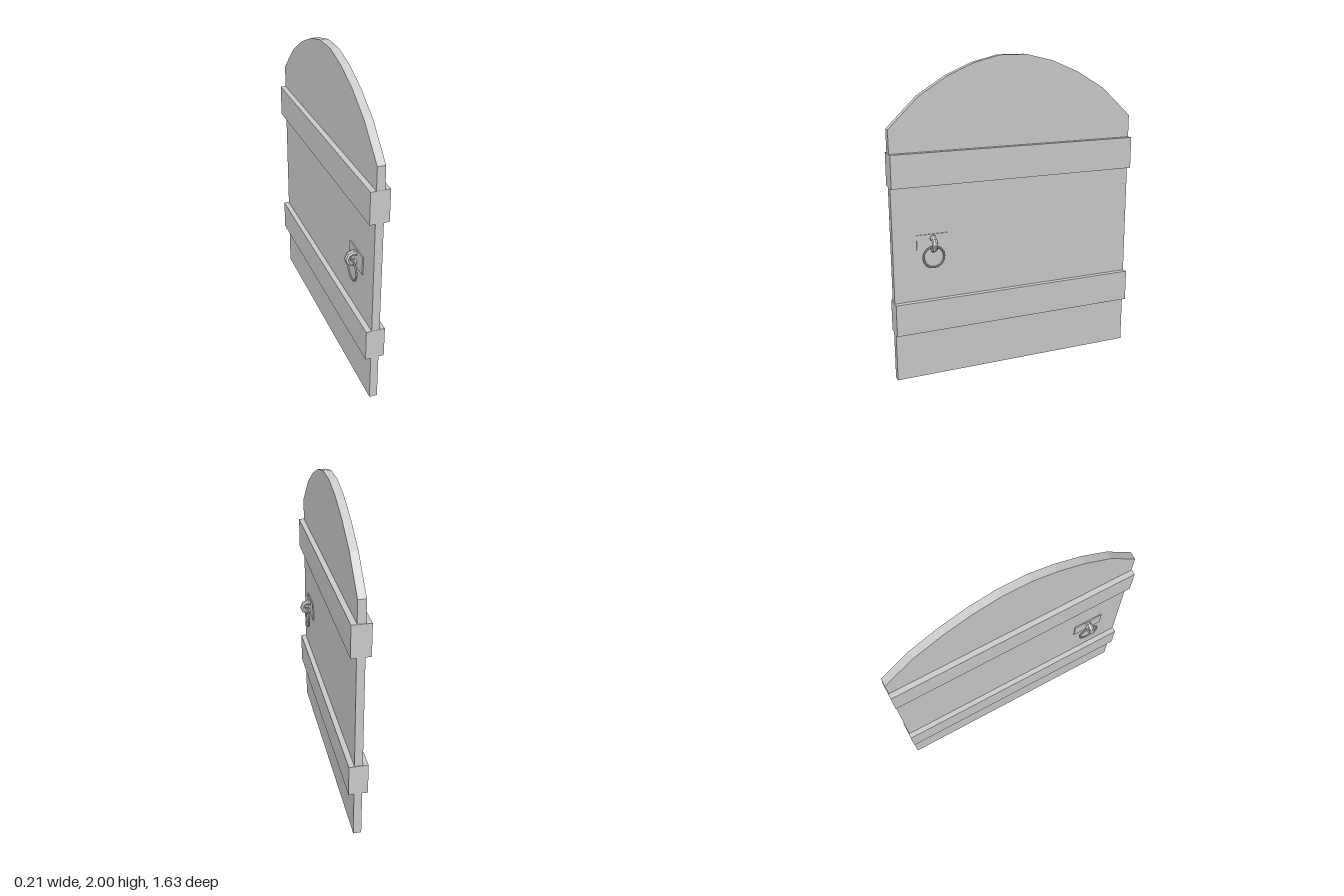
import * as THREE from 'three';

const material = new THREE.MeshStandardMaterial({ color: 0xcccccc, flatShading: true, side: THREE.DoubleSide });

function addPart(parent, name, geometry, x = 0, y = 0, z = 0) {
  const mesh = new THREE.Mesh(geometry, material);
  mesh.name = name;
  mesh.position.set(x, y, z);
  parent.add(mesh);
  return mesh;
}

// Arched panel, drawn in (z, y) and extruded across x; its underside is open
function panelGeometry() {
  const thickness = 0.05;
  const outline = [
    [-0.81, 0], [0.813, 0], [0.813, 1.59], [0.622, 1.775], [0.445, 1.885], [0.27, 1.96],
    [0.106, 2], [-0.07, 2], [-0.243, 1.96], [-0.424, 1.885], [-0.61, 1.775], [-0.81, 1.59],
  ];
  const shape = new THREE.Shape(outline.map(([z, y]) => new THREE.Vector2(z, y)));
  const solid = new THREE.ExtrudeGeometry(shape, { depth: thickness, bevelEnabled: false });
  solid.translate(0, 0, -thickness / 2).rotateY(-Math.PI / 2);
  const source = solid.getAttribute('position');
  const kept = [];
  for (let i = 0; i < source.count; i += 3) {
    const corners = [0, 1, 2].map((k) => new THREE.Vector3().fromBufferAttribute(source, i + k));
    if (corners.some((c) => c.y > 0.001)) corners.forEach((c) => kept.push(c.x, c.y, c.z));
  }
  const geometry = new THREE.BufferGeometry();
  geometry.setAttribute('position', new THREE.Float32BufferAttribute(kept, 3));
  geometry.computeVertexNormals();
  return geometry;
}

// Back plate, staple and hanging pull ring for one side of the door
function createHandle(side) {
  const handle = new THREE.Group();
  handle.name = side > 0 ? 'leftHandle' : 'rightHandle';
  const z = 0.563;
  addPart(handle, 'handlePlate', new THREE.BoxGeometry(0.008, 0.12, 0.2), side * 0.028, 0.875, z);
  addPart(handle, 'staple', new THREE.TorusGeometry(0.038, 0.018, 8, 8), side * 0.049, 0.877, z);
  const ring = new THREE.TorusGeometry(0.0665, 0.0065, 8, 16).rotateY(Math.PI / 2);
  addPart(handle, 'pullRing', ring, side * 0.053, 0.794, z);
  return handle;
}

export function createModel() {
  const door = new THREE.Group();
  door.name = 'archedDoor';
  addPart(door, 'doorPanel', panelGeometry());

  // Cross beams wrapping both faces
  for (const [name, y] of [['lowerBeam', 0.411], ['upperBeam', 1.344]]) {
    addPart(door, name, new THREE.BoxGeometry(0.118, 0.204, 1.628), 0, y, 0);
  }

  for (const side of [-1, 1]) door.add(createHandle(side));
  return door;
}
